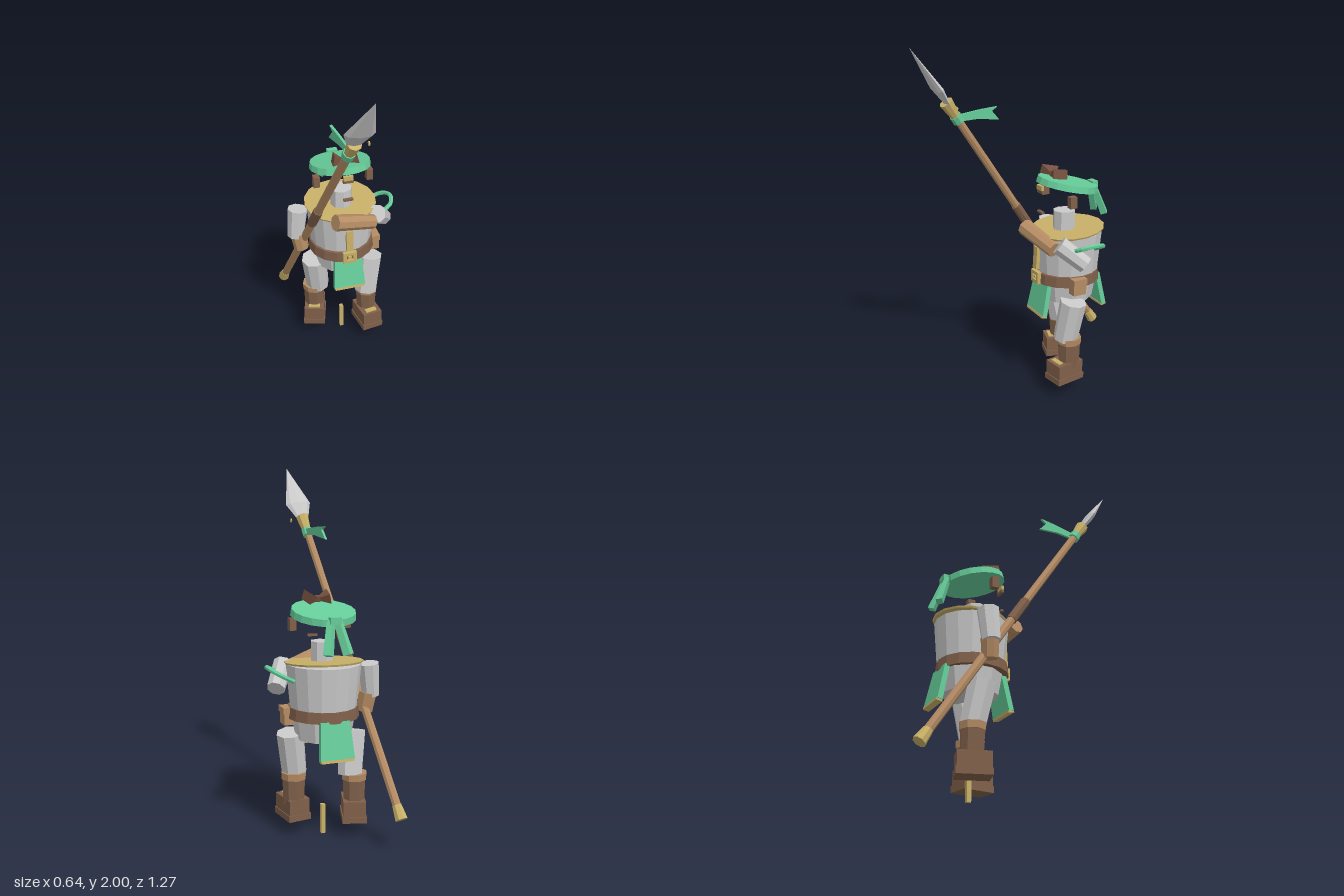
import * as THREE from 'three';

const mat = (name, color) => Object.assign(new THREE.MeshStandardMaterial({ color }), { name });
const V = (p) => new THREE.Vector3(...p);

export function createModel() {
  const root = new THREE.Group();
  root.name = 'spearGuard';
  const grey = mat('plateGrey', 0xcacaca);
  const gold = mat('gold', 0xc8b068);
  const green = mat('clothGreen', 0x66cc99);
  const brown = mat('darkLeather', 0x80604a);
  const tan = mat('tanLeather', 0xb58c64);
  const bowBrown = mat('bowBrown', 0x74503f);

  // Faceted mesh helper
  const add = (name, geo, material, pos = [0, 0, 0], rot = [0, 0, 0], parent = root) => {
    const g = geo.index ? geo.toNonIndexed() : geo;
    g.computeVertexNormals();
    const m = new THREE.Mesh(g, material);
    m.name = name;
    m.position.set(...pos);
    m.rotation.set(...rot);
    parent.add(m);
    return m;
  };
  const box = (name, size, material, pos, rot, parent) =>
    add(name, new THREE.BoxGeometry(...size), material, pos, rot, parent);
  const cyl = (name, rTop, rBottom, y0, y1, material, x, z, sides = 8) =>
    add(name, new THREE.CylinderGeometry(rTop, rBottom, y1 - y0, sides), material, [x, (y0 + y1) / 2, z]);
  // Tapered rod from a to b
  const rod = (name, a, b, rA, rB, material, sides = 8) => {
    const d = V(b).sub(V(a));
    const m = add(name, new THREE.CylinderGeometry(rB, rA, d.length(), sides), material);
    m.position.copy(V(a).add(V(b)).multiplyScalar(0.5));
    m.quaternion.setFromUnitVectors(new THREE.Vector3(0, 1, 0), d.normalize());
    return m;
  };

  // Torso, belt and collar
  cyl('torso', 0.202, 0.178, 0.7, 0.955, grey, 0, -0.228, 16);
  cyl('pelvis', 0.172, 0.15, 0.55, 0.68, grey, 0, -0.228, 10);
  cyl('belt', 0.19, 0.195, 0.665, 0.725, brown, 0, -0.22, 16);
  add('collarDisc', new THREE.CylinderGeometry(0.212, 0.208, 0.01, 16), gold, [0, 0.962, -0.23], [0.07, 0, 0]);
  cyl('neck', 0.064, 0.064, 0.96, 1.07, grey, 0, -0.208);

  // Buckle frame and the strap above it
  const frame = new THREE.Shape([[-0.04, -0.035], [0.04, -0.035], [0.04, 0.035], [-0.04, 0.035]].map((p) => new THREE.Vector2(...p)));
  frame.holes.push(new THREE.Path([[-0.02, -0.016], [-0.02, 0.016], [0.02, 0.016], [0.02, -0.016]].map((p) => new THREE.Vector2(...p))));
  add('buckle', new THREE.ExtrudeGeometry(frame, { depth: 0.025, bevelEnabled: false }), gold, [0, 0.697, -0.04]);
  box('bucklePin', [0.02, 0.015, 0.02], gold, [0, 0.697, -0.025]);
  box('chestStrap', [0.04, 0.13, 0.022], gold, [0, 0.812, -0.03], [-0.06, 0, 0]);
  box('pouch', [0.055, 0.075, 0.08], tan, [0.192, 0.667, -0.188]);
  box('pouchLid', [0.064, 0.032, 0.086], tan, [0.193, 0.708, -0.188]);

  // Cloth flaps with gold hems, front and back
  for (const [name, z, s] of [['frontFlap', -0.053, 1], ['backFlap', -0.413, -1]]) {
    const flap = new THREE.Group();
    flap.name = name;
    flap.position.set(0, 0.575, z);
    flap.rotation.x = -0.2 * s;
    root.add(flap);
    const g = new THREE.BoxGeometry(0.19, 0.2, 0.028);
    const p = g.attributes.position;
    for (let i = 0; i < p.count; i++) if (p.getY(i) > 0) p.setX(i, p.getX(i) * 0.85);
    add('flapCloth', g, green, [0, 0, 0], [0, 0, 0], flap);
    box('flapHem', [0.18, 0.014, 0.034], gold, [0, -0.103, 0], [0, 0, 0], flap);
  }

  // Legs and boots
  const legs = [
    { side: 'left', s: 1, top: [0.17, 0.575, -0.175], low: [0.137, 0.335, -0.145], shin: [0.147, -0.165], boot: [0.145, -0.137], turn: 0.15 },
    { side: 'right', s: -1, top: [-0.165, 0.575, -0.235], low: [-0.137, 0.335, -0.275], shin: [-0.16, -0.282], boot: [-0.16, -0.275], turn: 0.3 },
  ];
  for (const { side, s, top, low, shin, boot, turn } of legs) {
    rod(side + 'Thigh', low, top, 0.07, 0.077, grey);
    cyl(side + 'Shin', 0.066, 0.06, 0.17, 0.33, brown, ...shin);
    cyl(side + 'Cuff', 0.072, 0.069, 0.312, 0.35, tan, ...shin);
    const foot = new THREE.Group();
    foot.name = side + 'Boot';
    foot.position.set(boot[0], 0, boot[1]);
    foot.rotation.y = s * turn;
    root.add(foot);
    box('bootSole', [0.132, 0.035, 0.182], brown, [0, 0.1025, 0], [0, 0, 0], foot);
    box('bootUpper', [0.122, 0.085, 0.172], brown, [0, 0.16, 0], [0, 0, 0], foot);
    box('bootTrim', [0.07, 0.02, 0.03], gold, [0, 0.2, 0.055], [0, 0, 0], foot);
  }
  box('standPeg', [0.022, 0.165, 0.024], gold, [0, 0.0825, -0.225]);

  // Right arm, holding the shaft low
  rod('rightUpperArm', [-0.27, 0.76, -0.24], [-0.25, 0.94, -0.25], 0.05, 0.06, grey);
  rod('rightGlove', [-0.24, 0.675, -0.23], [-0.255, 0.78, -0.24], 0.045, 0.05, tan);
  // Left arm, folded across the chest
  rod('leftUpperArm', [0.255, 0.825, -0.195], [0.175, 0.935, -0.075], 0.05, 0.055, grey);
  rod('leftForearm', [0.15, 0.9, -0.058], [-0.09, 0.972, -0.003], 0.043, 0.048, tan);

  // Cloth loop at the left shoulder
  const loop = new THREE.CatmullRomCurve3([
    [0.19, 0.88, -0.3], [0.25, 0.912, -0.31], [0.297, 0.938, -0.27],
    [0.308, 0.946, -0.215], [0.285, 0.932, -0.155], [0.24, 0.91, -0.135],
  ].map(V));
  add('shoulderLoop', new THREE.TubeGeometry(loop, 12, 0.013, 6), green);

  // Hat with bow and hanging tails
  const hat = new THREE.Group();
  hat.name = 'hat';
  hat.position.set(0, 1.222, -0.225);
  hat.rotation.x = -0.21;
  root.add(hat);
  add('hatDisc', new THREE.CylinderGeometry(0.171, 0.176, 0.036, 18), green, [0, 0, 0], [0, 0, 0], hat);
  for (const s of [-1, 1]) {
    const wing = new THREE.CylinderGeometry(0.055, 0.014, 0.06, 4).rotateY(Math.PI / 4);
    wing.scale(0.7, 1, 1.3);
    add('hatBowWing', wing, bowBrown, [s * 0.033, 0.05, 0.1], [0, s * 0.15, -s * Math.PI / 2 + s * 0.25], hat);
    rod('hatTail', [s * 0.055, 1.03, -0.442], [s * 0.018, 1.2, -0.385], 0.03, 0.024, green, 4).scale.z = 0.8;
    box('sideLock', [0.036, 0.065, 0.042], brown, [s * 0.155, 1.16, -0.167]);
  }
  box('hatBowKnot', [0.026, 0.03, 0.03], bowBrown, [0, 0.045, 0.1], [0, 0, 0], hat);
  box('hatKnot', [0.06, 0.035, 0.035], green, [0, 1.2, -0.395]);
  box('browClasp', [0.055, 0.026, 0.016], gold, [0, 1.22, -0.052]);
  box('browTab', [0.06, 0.018, 0.014], brown, [0, 1.198, -0.054]);
  box('chinTab', [0.055, 0.012, 0.018], brown, [0, 1.078, -0.056]);

  // Spear: every part is placed by its height along one slanted line
  const at = (y) => [-0.29 + (y - 0.18) * 0.1145, y, -0.605 + (y - 0.18) * 0.681];
  rod('spearShaft', at(0.2), at(1.68), 0.024, 0.022, tan);
  rod('spearButt', at(0.18), at(0.245), 0.035, 0.026, gold);
  rod('spearGrip', at(0.935), at(1.075), 0.028, 0.028, brown);
  rod('spearBand', at(1.605), at(1.64), 0.032, 0.032, green);
  rod('spearCollar', at(1.64), at(1.715), 0.027, 0.038, gold);
  const blade = new THREE.LatheGeometry(
    [[0.0001, 0], [0.04, 0.012], [0.077, 0.105], [0.0001, 0.365]].map((p) => new THREE.Vector2(...p)), 8);
  blade.scale(1, 1, 0.3);
  const head = add('spearHead', blade, grey, at(1.704));
  head.quaternion.setFromUnitVectors(new THREE.Vector3(0, 1, 0), V(at(2)).sub(V(at(1))).normalize());
  add('collarRivet', new THREE.CylinderGeometry(0.012, 0.012, 0.006, 8), gold, [-0.037, 1.692, 0.418], [0, 0, Math.PI / 2]);

  // Swallow-tailed pennant
  const pennant = new THREE.Shape([
    [0, 0.035], [0.15, 0.05], [0.25, 0.055], [0.215, 0.035], [0.262, -0.018], [0.13, 0.002], [0, 0],
  ].map((p) => new THREE.Vector2(...p)));
  add('pennant', new THREE.ExtrudeGeometry(pennant, { depth: 0.014, bevelEnabled: false }), green,
    [-0.12, 1.608, 0.385], [0, Math.PI / 2 + 0.13, 0]);

  return root;
}
